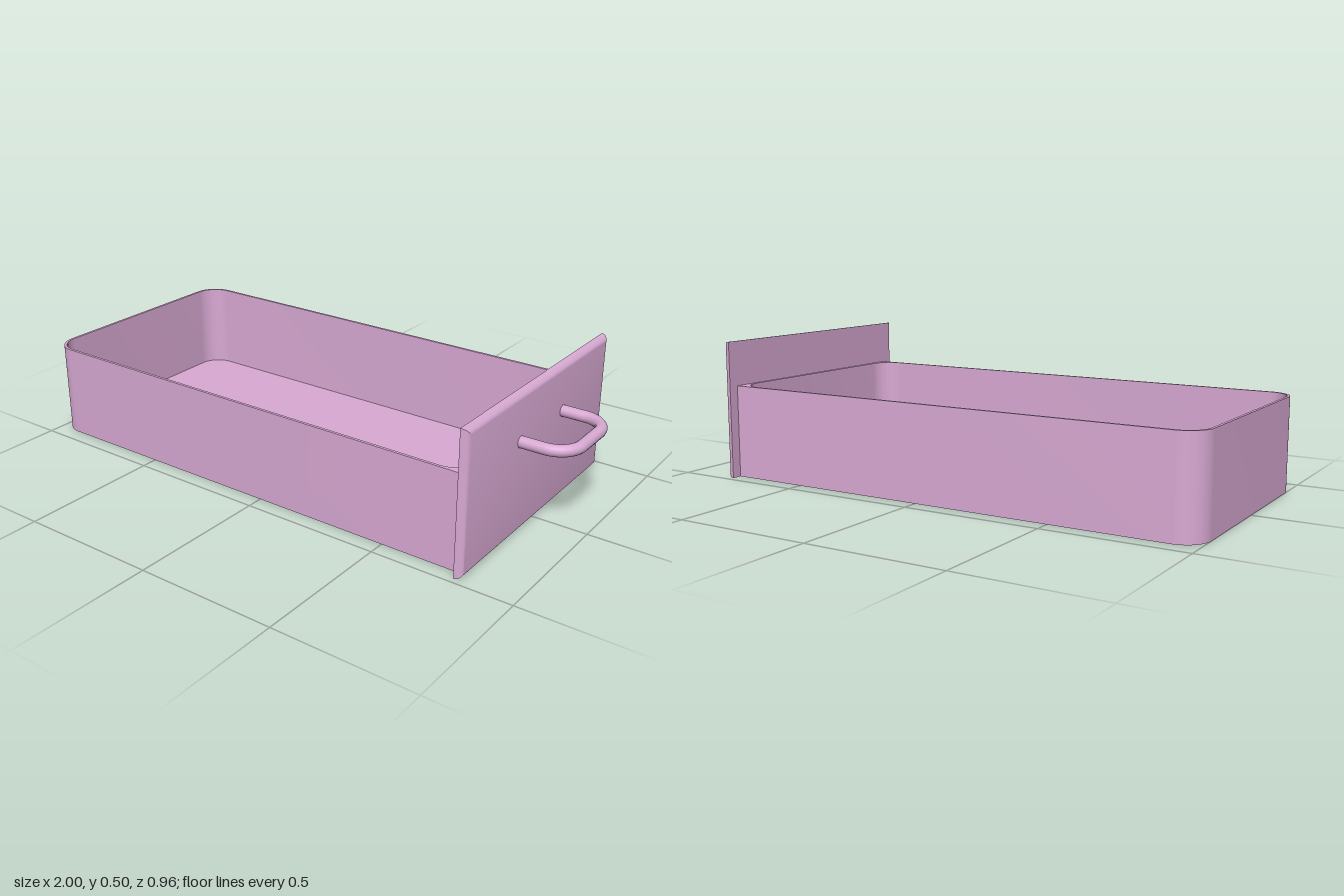
import * as THREE from 'three';
import { toCreasedNormals } from 'three/addons/utils/BufferGeometryUtils.js';

const BACK = -1, FACE = 0.786, HALF = 0.443, WALL = 0.01, HEIGHT = 0.337, FLOOR = 0.01;

// Plan outline with one corner radius at the -x end and another at the +x end
function outline(target, x0, x1, h, r0, r1) {
  target.moveTo(x0 + r0, -h);
  target.lineTo(x1 - r1, -h);
  if (r1) target.absarc(x1 - r1, -h + r1, r1, -Math.PI / 2, 0, false);
  else target.lineTo(x1, -h);
  target.lineTo(x1, h - r1);
  if (r1) target.absarc(x1 - r1, h - r1, r1, 0, Math.PI / 2, false);
  else target.lineTo(x1, h);
  target.lineTo(x0 + r0, h);
  target.absarc(x0 + r0, h - r0, r0, Math.PI / 2, Math.PI, false);
  target.lineTo(x0, -h + r0);
  target.absarc(x0 + r0, -h + r0, r0, Math.PI, Math.PI * 1.5, false);
  return target;
}

// Upright extrusion of a plan shape
function rise(shape, y, height) {
  const g = new THREE.ExtrudeGeometry(shape, { depth: height, bevelEnabled: false, curveSegments: 12 });
  g.rotateX(-Math.PI / 2).translate(0, y, 0);
  return toCreasedNormals(g, 0.6);
}

// Flat-backed panel whose outer edges roll over in a mitred quarter round
function panelGeometry(x0, x1, y1, hz, r) {
  const rows = [[x0, hz], [x0, 0]];
  for (let i = 0; i <= 8; i++) {
    const a = (i / 8) * Math.PI / 2;
    rows.push([x1 - r + r * Math.sin(a), r * (1 - Math.cos(a))]);
  }
  const corner = (k, x, inset) => {
    const z = hz - inset, lo = inset, hi = y1 - inset;
    return [[x, lo, z], [x, lo, -z], [x, hi, -z], [x, hi, z]][k % 4];
  };
  const pos = [];
  const quad = (a, b, c, d) => pos.push(...a, ...b, ...c, ...a, ...c, ...d);
  // Four mitred sides
  for (let k = 0; k < 4; k++) {
    for (let i = 1; i < rows.length - 1; i++) {
      const [xa, ia] = rows[i], [xb, ib] = rows[i + 1];
      quad(corner(k, xa, ia), corner(k + 1, xa, ia), corner(k + 1, xb, ib), corner(k, xb, ib));
    }
  }
  // Front and back faces
  quad(...[0, 1, 2, 3].map(k => corner(k, x1, r)));
  quad(...[3, 2, 1, 0].map(k => corner(k, x0, 0)));
  const g = new THREE.BufferGeometry();
  g.setAttribute('position', new THREE.Float32BufferAttribute(pos, 3));
  return toCreasedNormals(g, 0.5);
}

// Round bar bent into a U with two rounded corners
function handleGeometry() {
  const y = 0.335, z = 0.146, x0 = 0.805, x1 = 0.98, r = 0.085;
  const v = (x, zz) => new THREE.Vector3(x, y, zz);
  const path = new THREE.CurvePath();
  const bend = (cz, a0, a1) => {
    const pts = [];
    for (let i = 0; i <= 12; i++) {
      const a = a0 + (a1 - a0) * i / 12;
      pts.push(v(x1 - r + r * Math.cos(a), cz + r * Math.sin(a)));
    }
    return new THREE.CatmullRomCurve3(pts);
  };
  path.add(new THREE.LineCurve3(v(x0, z), v(x1 - r, z)));
  path.add(bend(z - r, Math.PI / 2, 0));
  path.add(new THREE.LineCurve3(v(x1, z - r), v(x1, r - z)));
  path.add(bend(r - z, 0, -Math.PI / 2));
  path.add(new THREE.LineCurve3(v(x1 - r, -z), v(x0, -z)));
  return new THREE.TubeGeometry(path, 72, 0.02, 20, false);
}

export function createModel() {
  const group = new THREE.Group();
  group.name = 'drawer';
  const material = new THREE.MeshStandardMaterial({ color: 0xd8a9d3 });
  const add = (name, geometry) => {
    const mesh = new THREE.Mesh(geometry, material);
    mesh.name = name;
    group.add(mesh);
  };

  // Tray: thin floor, and walls rounded inside at all corners
  add('trayFloor', rise(outline(new THREE.Shape(), BACK, FACE, HALF, 0.09, 0), 0, FLOOR));
  const walls = outline(new THREE.Shape(), BACK, FACE, HALF, 0.09, 0);
  walls.holes.push(outline(new THREE.Path(), BACK + WALL, FACE - WALL, HALF - WALL, 0.08, 0.08));
  add('trayWalls', rise(walls, FLOOR, HEIGHT - FLOOR));

  // Drawer front and its pull
  add('frontPanel', panelGeometry(FACE, 0.814, 0.5, 0.48, 0.025));
  add('handle', handleGeometry());
  return group;
}
